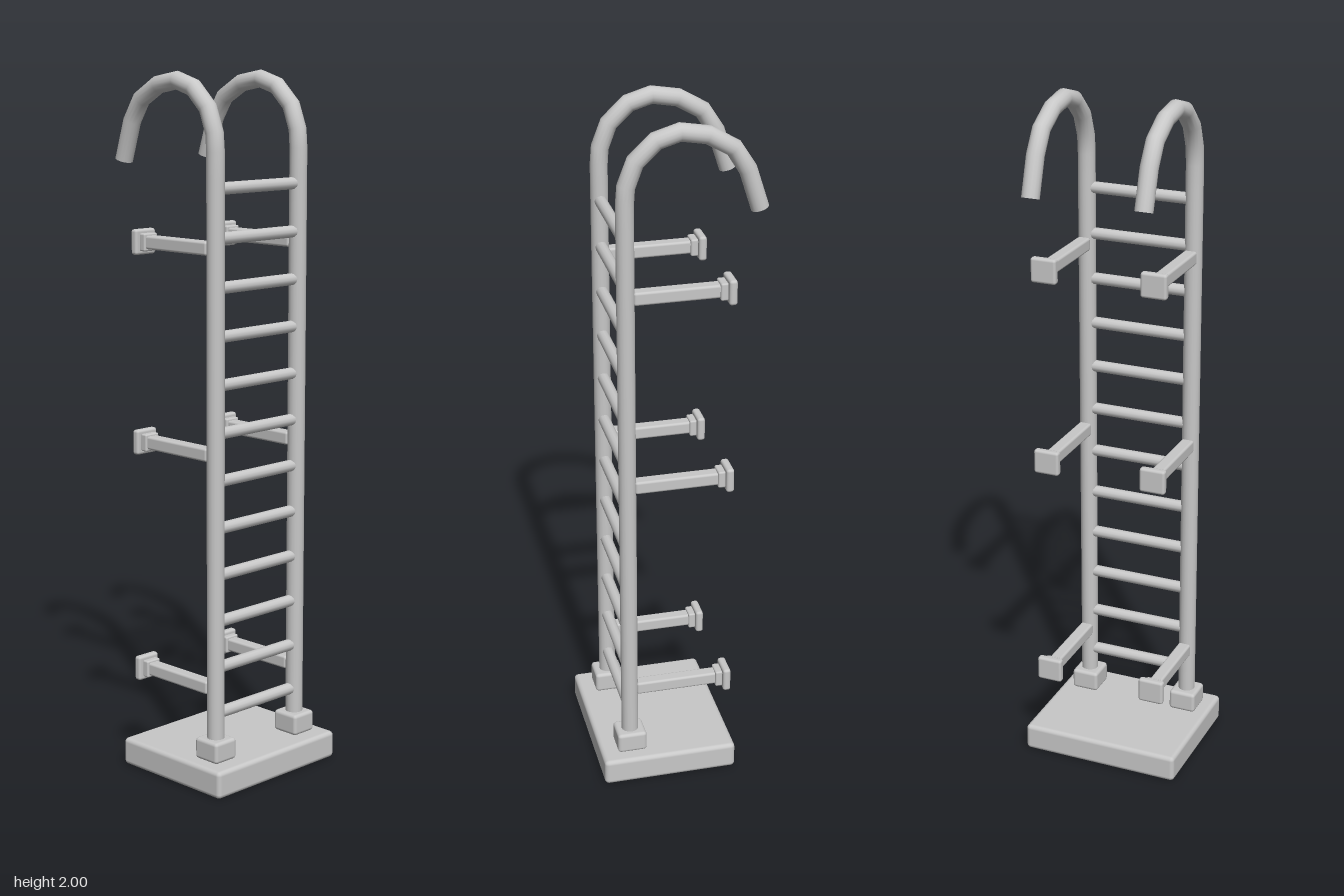
import * as THREE from 'three';
import { RoundedBoxGeometry } from 'three/addons/geometries/RoundedBoxGeometry.js';

const RAIL_X = 0.162, RAIL_Z = 0.148, RAIL_R = 0.025;

// Polyline curve sampled exactly at its points, so the bends stay faceted
function polyline(points) {
  const curve = new THREE.Curve();
  curve.getPoint = (t, target = new THREE.Vector3()) => {
    const s = Math.min(Math.max(t, 0), 1) * (points.length - 1);
    const i = Math.min(Math.floor(s), points.length - 2);
    return target.lerpVectors(points[i], points[i + 1], s - i);
  };
  curve.getPointAt = curve.getPoint;
  curve.getTangentAt = curve.getTangent;
  return curve;
}

export function createModel() {
  const model = new THREE.Group();
  model.name = 'wallLadder';
  const metal = new THREE.MeshStandardMaterial({ color: 0xc8c8c8 });
  metal.name = 'light grey metal';

  const add = (parent, name, geometry, x = 0, y = 0, z = 0) => {
    const mesh = new THREE.Mesh(geometry, metal);
    mesh.name = name;
    mesh.position.set(x, y, z);
    parent.add(mesh);
    return mesh;
  };
  const box = (w, h, d, r) => new RoundedBoxGeometry(w, h, d, 2, r);

  // Base slab
  add(model, 'basePlate', box(0.48, 0.08, 0.398, 0.013), 0, 0.041, 0.041);

  // Rail path in (z, y): straight post, then the hooked top
  const path = [
    [RAIL_Z, 0.13], [RAIL_Z, 1.72], [RAIL_Z, 1.79], [0.144, 1.84], [0.119, 1.905], [0.064, 1.957],
    [0, 1.976], [-0.074, 1.963], [-0.143, 1.923], [-0.182, 1.862], [-0.217, 1.753],
  ].map(([z, y]) => new THREE.Vector3(0, y, z));
  const railGeometry = new THREE.TubeGeometry(polyline(path), path.length - 1, RAIL_R, 16, false);
  const tip = path[path.length - 1];
  const tipDirection = tip.clone().sub(path[path.length - 2]).normalize();

  for (const side of [-1, 1]) {
    const half = new THREE.Group();
    half.name = side > 0 ? 'leftSide' : 'rightSide';
    half.position.x = side * RAIL_X;
    model.add(half);

    add(half, 'rail', railGeometry);
    const cap = add(half, 'railEndCap', new THREE.CircleGeometry(RAIL_R, 16), 0, tip.y, tip.z);
    cap.quaternion.setFromUnitVectors(new THREE.Vector3(0, 0, 1), tipDirection);
    add(half, 'railFoot', box(0.082, 0.062, 0.087, 0.01), 0, 0.112, 0.148);

    // Wall brackets: arm, collar and mounting plate
    for (const y of [0.287, 0.96, 1.53]) {
      add(half, 'bracketArm', box(0.038, 0.038, 0.265, 0.007), 0, y, -0.004);
      add(half, 'bracketCollar', box(0.05, 0.05, 0.022, 0.005), 0, y, -0.119);
      add(half, 'bracketPlate', box(0.076, 0.072, 0.023, 0.008), 0, y, -0.14);
    }
  }

  // Rungs
  const rungGeometry = new THREE.CylinderGeometry(0.017, 0.017, 2 * RAIL_X - 0.02, 12).rotateZ(Math.PI / 2);
  for (let i = 0; i < 12; i++) add(model, 'rung', rungGeometry, 0, 0.214 + i * 0.1343, RAIL_Z);

  return model;
}
